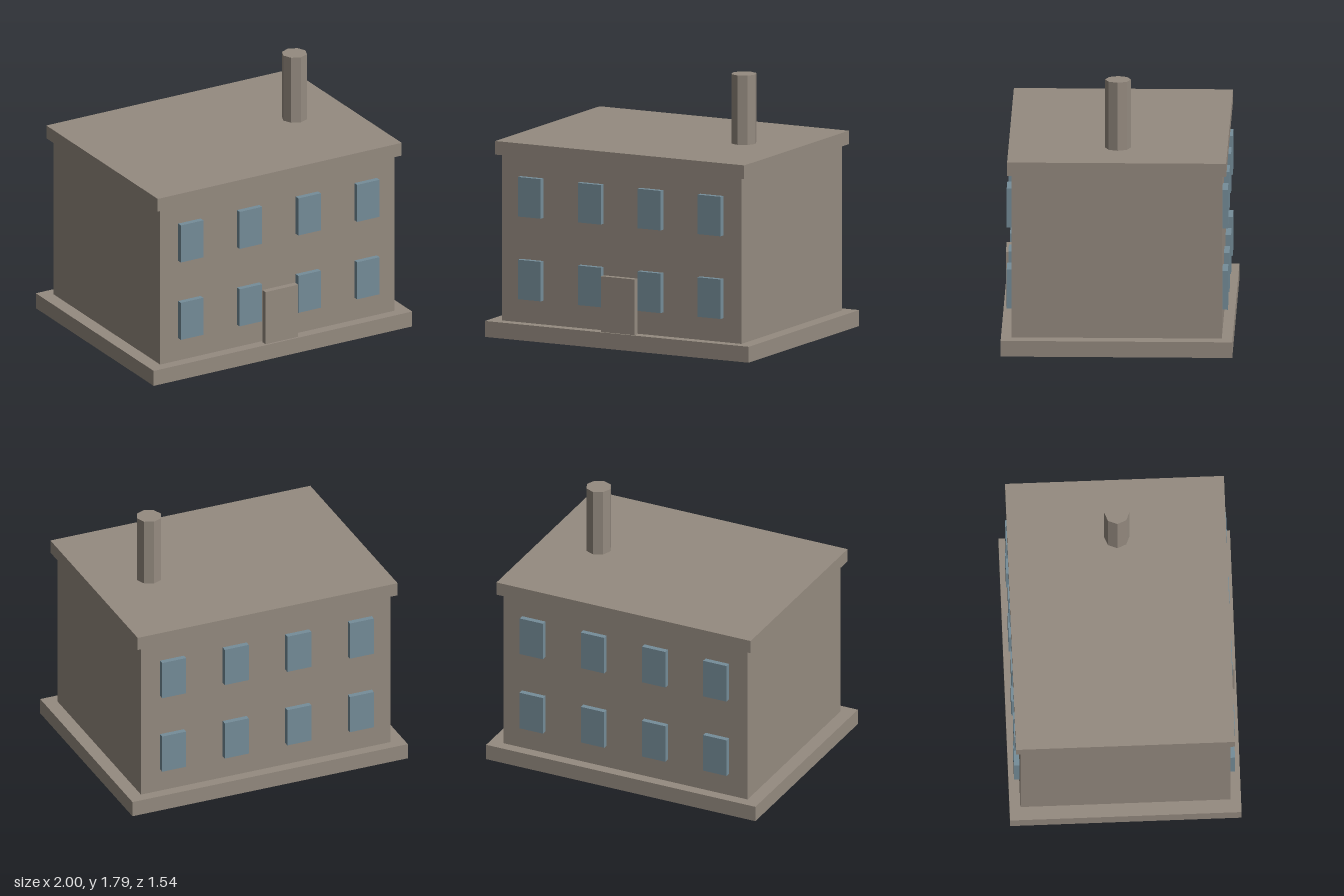
import * as THREE from 'three';

export function createModel() {
  const model = new THREE.Group();
  model.name = 'house';

  const stone = new THREE.MeshStandardMaterial({ color: 0x958b80 });
  stone.name = 'warm grey stone';
  const glass = new THREE.MeshStandardMaterial({ color: 0x758d99 });
  glass.name = 'blue grey glass';

  // Adds a box standing on height y
  function addBox(parent, name, material, [w, h, d], [x, y, z]) {
    const mesh = new THREE.Mesh(new THREE.BoxGeometry(w, h, d), material);
    mesh.name = name;
    mesh.position.set(x, y + h / 2, z);
    parent.add(mesh);
    return mesh;
  }

  // Main masses
  addBox(model, 'foundation', stone, [2, 0.108, 1.544], [0, 0, 0]);
  addBox(model, 'walls', stone, [1.814, 1.125, 1.4], [0, 0.108, 0]);
  addBox(model, 'roofSlab', stone, [1.888, 0.092, 1.46], [0, 1.233, 0]);

  // Door slab, standing just clear of the front wall
  addBox(model, 'door', stone, [0.252, 0.377, 0.042], [0, 0.108, 0.737]);

  // Octagonal chimney
  const chimney = new THREE.Mesh(
    new THREE.CylinderGeometry(0.086, 0.086, 0.47, 8).toNonIndexed(),
    stone
  );
  chimney.geometry.computeVertexNormals();
  chimney.name = 'chimney';
  chimney.position.set(0.545, 1.325 + 0.235, 0);
  model.add(chimney);

  // Two rows of four windows, front and back
  for (const side of [1, -1]) {
    const windows = new THREE.Group();
    windows.name = side > 0 ? 'frontWindows' : 'backWindows';
    for (const y of [0.27, 0.83]) {
      for (const x of [-0.682, -0.227, 0.227, 0.682]) {
        addBox(windows, 'window', glass, [0.174, 0.268, 0.037], [x, y, side * 0.7185]);
      }
    }
    model.add(windows);
  }

  return model;
}
